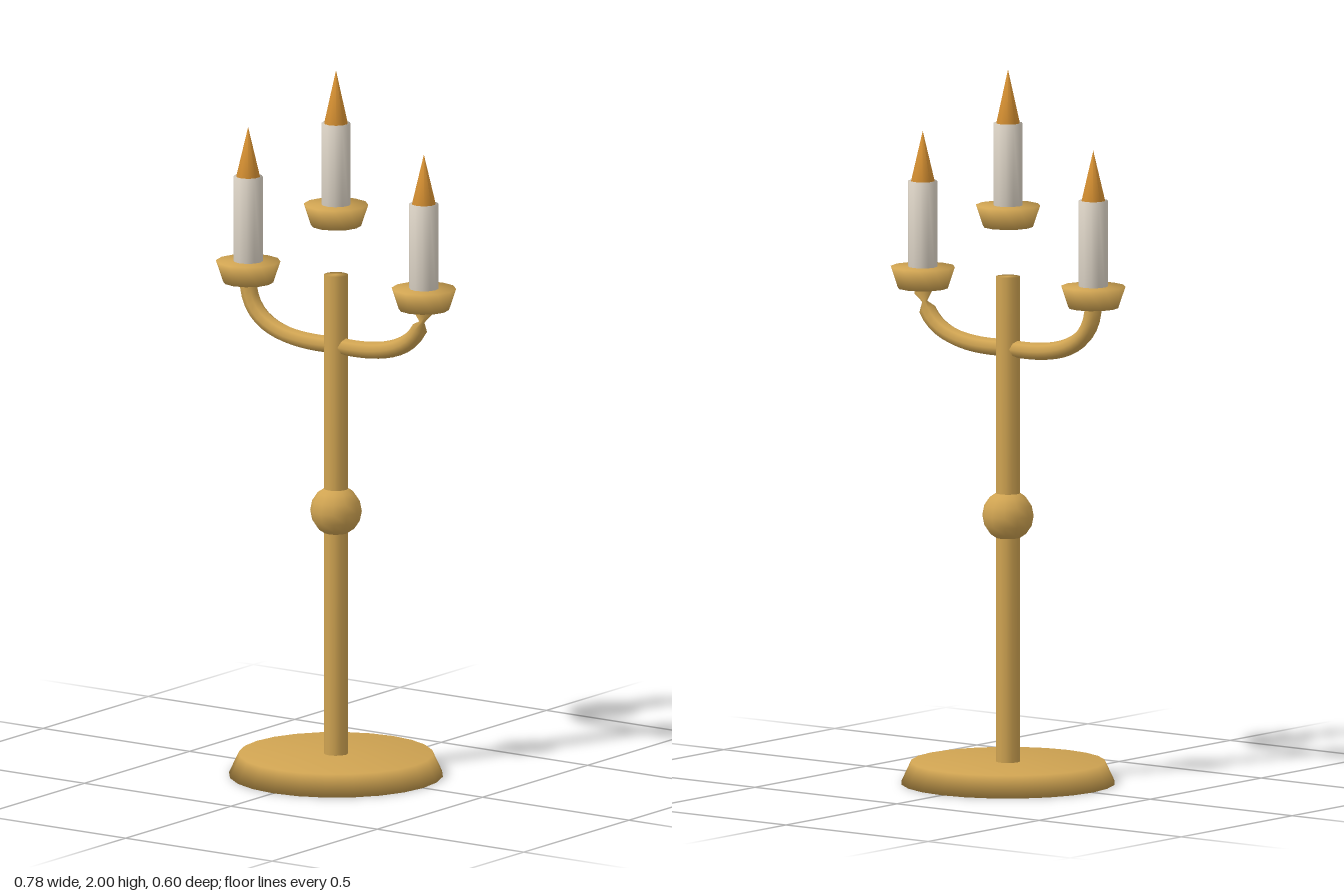
import * as THREE from 'three';

export function createModel() {
  const brass = new THREE.MeshStandardMaterial({ name: 'brass', color: 0xd0a452 });
  const wax = new THREE.MeshStandardMaterial({ name: 'wax', color: 0xe2d9cb });
  const fire = new THREE.MeshStandardMaterial({ name: 'fire', color: 0xdd9534 });
  const model = new THREE.Group();
  model.name = 'candelabra';

  const add = (name, geometry, material, parent = model) => {
    const mesh = new THREE.Mesh(geometry, material);
    mesh.name = name;
    parent.add(mesh);
    return mesh;
  };

  // Closed turned solid whose shading rolls softly over its edges
  const turned = (bottomR, topR, y0, y1, sides) => {
    const profile = [[0, y0], [bottomR, y0], [topR, y1]];
    if (topR > 0) profile.push([0, y1]);
    return new THREE.LatheGeometry(profile.map(([r, y]) => new THREE.Vector2(r, y)), sides);
  };

  // Foot, stem and knob
  add('base', turned(0.298, 0.27, 0, 0.06, 24), brass);
  add('stem', turned(0.034, 0.034, 0.06, 1.42, 12), brass);
  add('knob', new THREE.SphereGeometry(0.072, 12, 8), brass).position.y = 0.75;

  // Drip cup, candle and flame, stacked upwards from the cup's underside
  const addCandle = (name, x, y, waxHeight, flameHeight) => {
    const group = new THREE.Group();
    group.name = name;
    group.position.set(x, y, 0);
    const waxTop = 0.06 + waxHeight;
    add('dripCup', turned(0.07, 0.09, 0, 0.06, 12), brass, group);
    add('candle', turned(0.041, 0.041, 0.058, waxTop, 12), wax, group);
    add('flame', turned(0.034, 0, waxTop, waxTop + flameHeight, 10), fire, group);
    model.add(group);
  };
  addCandle('middleCandle', 0, 1.56, 0.23, 0.15);
  addCandle('leftCandle', 0.3, 1.36, 0.24, 0.14);
  addCandle('rightCandle', -0.3, 1.36, 0.24, 0.14);

  // Curved arms; the left one is pinched just below its cup
  const segments = 16, sides = 8;
  for (const side of [-1, 1]) {
    const curve = new THREE.QuadraticBezierCurve3(
      new THREE.Vector3(0, 1.22, 0),
      new THREE.Vector3(side * 0.3, 1.2, 0),
      new THREE.Vector3(side * 0.3, 1.37, 0)
    );
    const tube = new THREE.TubeGeometry(curve, segments, 0.024, sides);
    if (side > 0) {
      const ring = 14, position = tube.attributes.position;
      const centre = curve.getPointAt(ring / segments), v = new THREE.Vector3();
      for (let j = 0; j <= sides; j++) {
        const i = ring * (sides + 1) + j;
        v.fromBufferAttribute(position, i).lerp(centre, 0.7);
        position.setXYZ(i, v.x, v.y, v.z);
      }
    }
    add(side > 0 ? 'leftArm' : 'rightArm', tube, brass);
  }
  return model;
}
